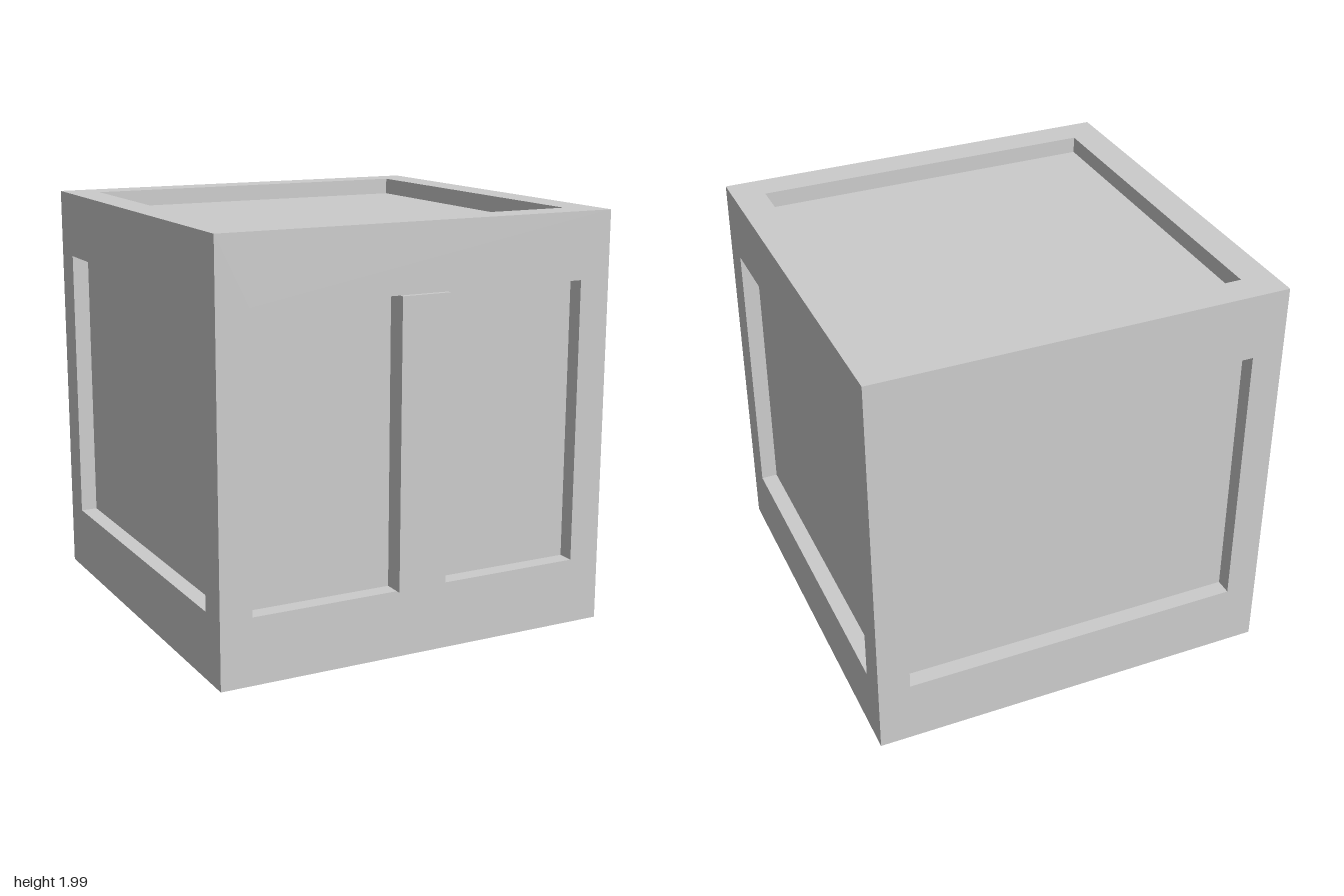
import * as THREE from 'three';

const grey = new THREE.MeshStandardMaterial({ color: 0xcccccc });
grey.name = 'crateGrey';

// One crate face looking along +z: flat border, recess walls and (optionally) a sunken panel
function recessedFace(halfW, halfH, openW, openH, depth, withPanel = true) {
  const ring = (w, h, z) => [[-w, -h, z], [w, -h, z], [w, h, z], [-w, h, z]];
  const rings = [ring(halfW, halfH, 0), ring(openW, openH, 0), ring(openW, openH, -depth)];
  const pos = [];
  const quad = (a, b, c, d) => pos.push(...a, ...b, ...c, ...a, ...c, ...d);
  for (let r = 0; r < 2; r++) {
    for (let i = 0; i < 4; i++) {
      const j = (i + 1) % 4;
      quad(rings[r][i], rings[r][j], rings[r + 1][j], rings[r + 1][i]);
    }
  }
  if (withPanel) quad(...rings[2]);
  const geo = new THREE.BufferGeometry();
  geo.setAttribute('position', new THREE.Float32BufferAttribute(pos, 3));
  geo.computeVertexNormals();
  return geo;
}

export function createModel() {
  const crate = new THREE.Group();
  crate.name = 'crate';
  const add = (name, geo, x, y, z) => {
    const mesh = new THREE.Mesh(geo, grey);
    mesh.name = name;
    mesh.position.set(x, y, z);
    crate.add(mesh);
    return mesh;
  };

  const HX = 0.987, HY = 0.989, HZ = 0.988; // half sizes of the body
  const CY = 1.001, CZ = -0.012;            // body centre
  const DEPTH = 0.08, OPEN = 0.833, OPEN_H = 0.673;

  // Four upright faces
  add('frontFace', recessedFace(HX, HY, OPEN, OPEN_H, DEPTH), 0, CY, CZ + HZ);
  add('backFace', recessedFace(HX, HY, OPEN, OPEN_H, DEPTH), 0, CY, CZ - HZ).rotation.y = Math.PI;
  for (const [name, side] of [['leftFace', 1], ['rightFace', -1]]) {
    add(name, recessedFace(HZ, HY, OPEN, OPEN_H, DEPTH), side * HX, CY, CZ).rotation.y = side * Math.PI / 2;
  }

  // Lid and base rim
  add('topFace', recessedFace(HX, HZ, OPEN, OPEN, DEPTH), 0, CY + HY, CZ).rotation.x = -Math.PI / 2;
  add('baseRim', recessedFace(HX, HZ, OPEN, OPEN, 0.06, false), 0, CY - HY, CZ).rotation.x = Math.PI / 2;

  // Slightly warped base panel, two opposite corners dipping below the rim
  const base = new THREE.PlaneGeometry(1.85, 1.85, 8, 8).rotateX(Math.PI / 2);
  const p = base.attributes.position;
  for (let i = 0; i < p.count; i++) {
    const u = p.getX(i) / 0.925, v = p.getZ(i) / 0.925;
    p.setY(i, 0.01925 + 0.00175 * (u - v) + 0.01575 * u * v);
  }
  base.computeVertexNormals();
  add('basePanel', base, 0, 0, CZ);

  // Upright bar across the front recess
  add('frontBar', new THREE.BoxGeometry(0.24, 2 * OPEN_H, 0.11), 0, CY, 0.945);

  return crate;
}
